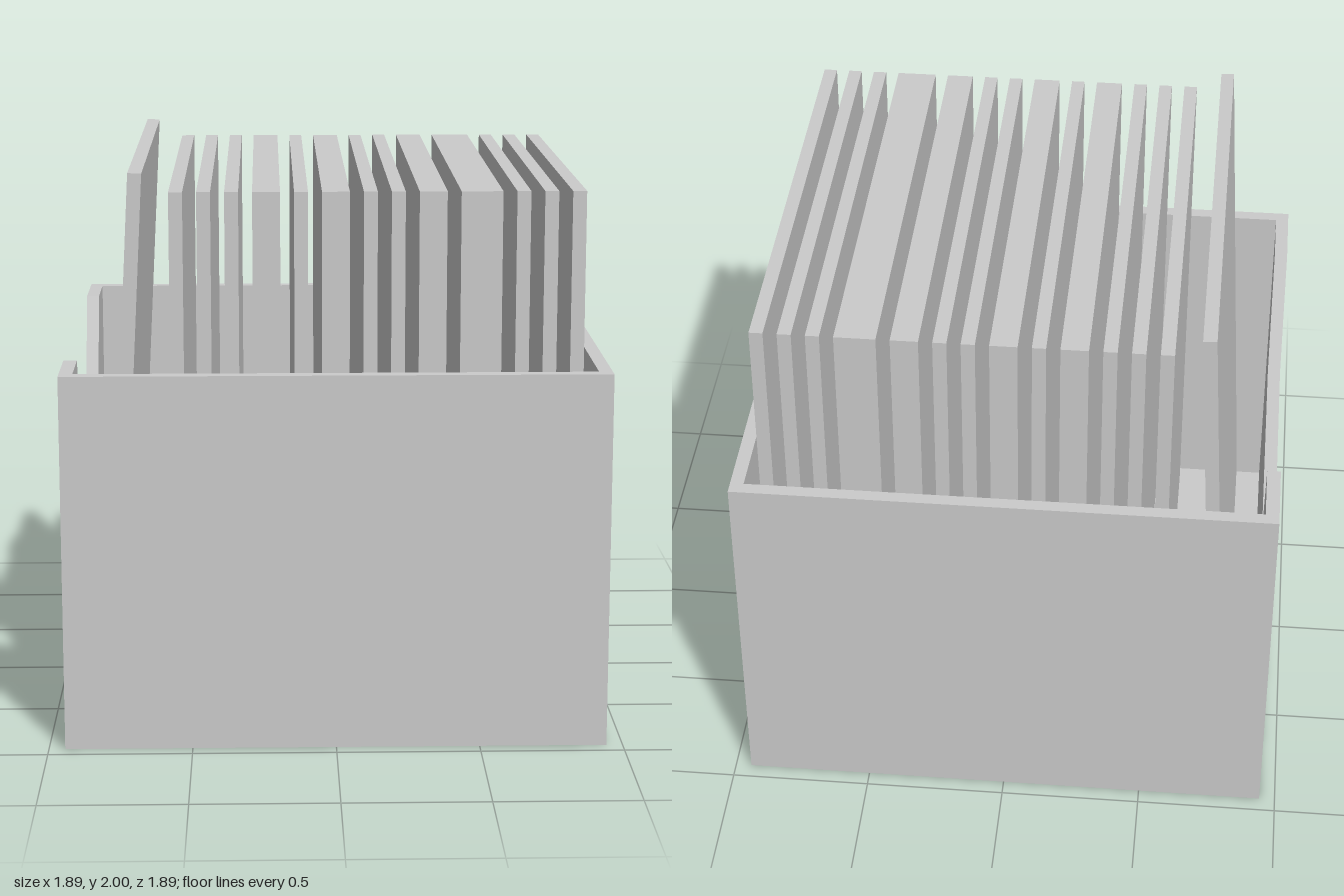
import * as THREE from 'three';

const U = 2 / 42.4;            // thickness of walls and thin cards
const HALF = 20 * U;           // half the outer width of the bin
const WALL_H = 28 * U;         // bin height
const CARD_H = 40 * U, CARD_D = 36 * U;

export function createModel() {
  const model = new THREE.Group();
  const material = new THREE.MeshStandardMaterial({ color: 0xcccccc, flatShading: true });

  const add = (parent, name, geometry, x, y, z) => {
    const mesh = new THREE.Mesh(geometry, material);
    mesh.name = name;
    mesh.position.set(x, y, z);
    parent.add(mesh);
    return mesh;
  };
  const box = (parent, name, w, h, d, x, y, z) =>
    add(parent, name, new THREE.BoxGeometry(w, h, d), x, y, z);

  // Open bin: floor, front and back between the two side walls
  const bin = new THREE.Group();
  bin.name = 'bin';
  model.add(bin);
  const inner = 2 * (HALF - U);
  box(bin, 'floor', inner, U, inner, 0, U / 2, 0);
  for (const s of [1, -1])
    box(bin, s > 0 ? 'frontWall' : 'backWall', inner, WALL_H, U, 0, WALL_H / 2, s * (HALF - U / 2));
  box(bin, 'leftWall', U, WALL_H, 2 * HALF, HALF - U / 2, WALL_H / 2, 0);

  // Right wall with a tapered hand notch in its rim
  const outline = new THREE.Shape([
    [-HALF, 0], [HALF, 0], [HALF, WALL_H], [14 * U, WALL_H],
    [10 * U, 19 * U], [-10 * U, 19 * U], [-14 * U, WALL_H], [-HALF, WALL_H],
  ].map(([z, y]) => new THREE.Vector2(z, y)));
  const notched = new THREE.ExtrudeGeometry(outline, { depth: U, bevelEnabled: false });
  notched.rotateY(-Math.PI / 2);
  add(bin, 'notchedRightWall', notched, -HALF + U, 0, 0);

  // Upright cards of varied thickness, one unit apart
  const cards = new THREE.Group();
  cards.name = 'cards';
  model.add(cards);
  let x = -12 * U;
  for (const n of [1, 1, 1, 2, 1, 2, 1, 1, 2, 3, 1, 1, 1]) {
    box(cards, 'card', n * U, CARD_H, CARD_D, x + n * U / 2, U + CARD_H / 2, 0);
    x += (n + 1) * U;
  }

  // Slightly raised card leaning inward behind the notch
  const leaning = box(cards, 'leaningCard', U, CARD_H, CARD_D, -0.728, 1.056, 0);
  leaning.rotation.z = -THREE.MathUtils.degToRad(3);

  return model;
}
